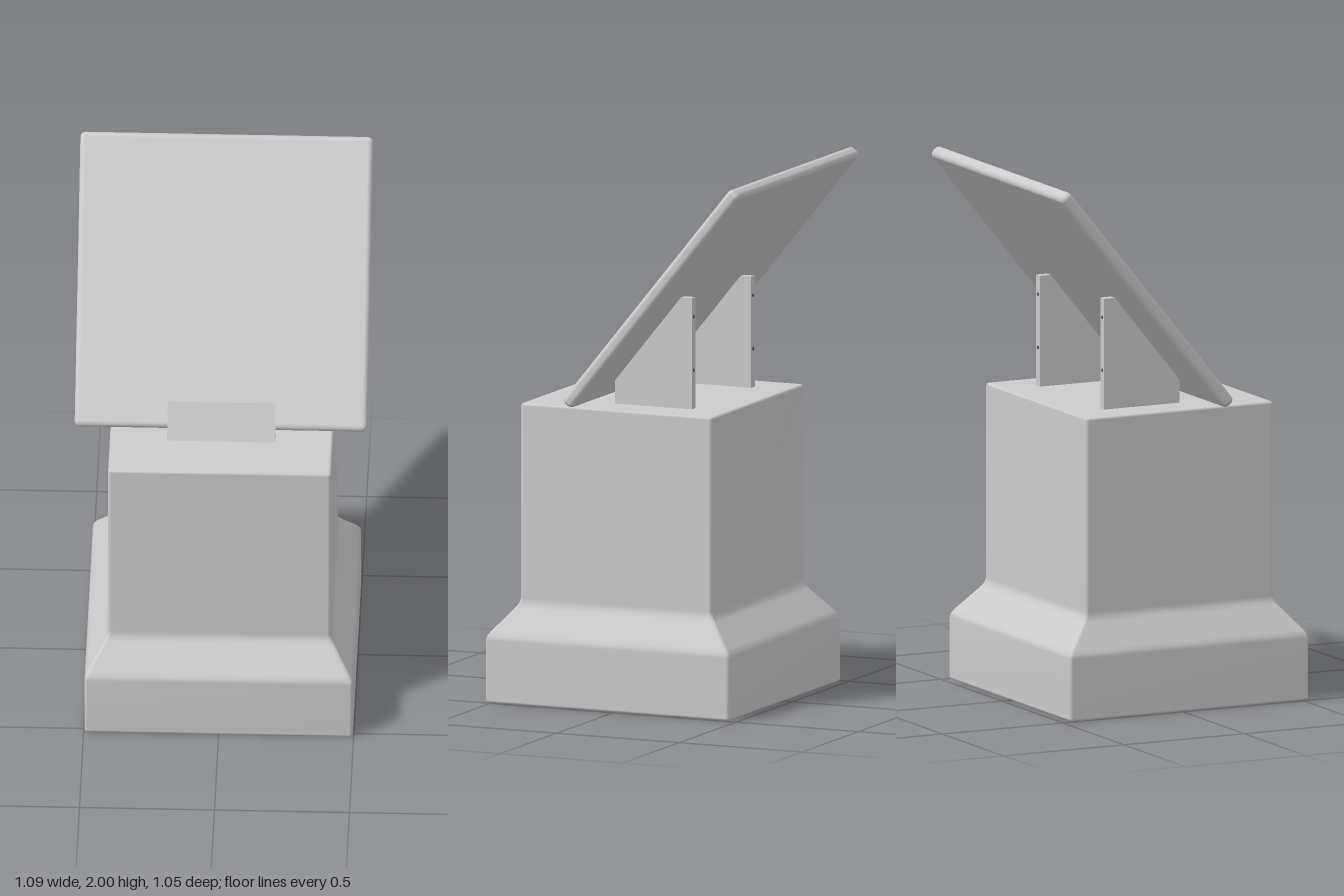
import * as THREE from 'three';
import { RoundedBoxGeometry } from 'three/addons/geometries/RoundedBoxGeometry.js';

const TILT = 0.684; // lean of the board from vertical

// Closed loft of rounded rectangles; each level is {y, hx, hz, zc, r}
function loftGeometry(levels, arc = 4) {
  const pos = [], index = [];
  const n = 4 * (arc + 1);
  for (const { y, hx, hz, zc, r } of levels) {
    for (let c = 0; c < 4; c++) {
      const sx = c === 0 || c === 3 ? 1 : -1;
      const sz = c < 2 ? 1 : -1;
      for (let k = 0; k <= arc; k++) {
        const a = (c + k / arc) * Math.PI / 2;
        pos.push(sx * (hx - r) + r * Math.cos(a), y, zc + sz * (hz - r) + r * Math.sin(a));
      }
    }
  }
  for (let l = 0; l < levels.length - 1; l++) {
    for (let i = 0; i < n; i++) {
      const a = l * n + i, b = l * n + (i + 1) % n;
      index.push(a, a + n, b, b, a + n, b + n);
    }
  }
  // end caps
  const last = (levels.length - 1) * n;
  const bottom = pos.length / 3, top = bottom + 1;
  pos.push(0, levels[0].y, levels[0].zc, 0, levels[levels.length - 1].y, levels[levels.length - 1].zc);
  for (let i = 0; i < n; i++) {
    const j = (i + 1) % n;
    index.push(bottom, i, j, top, last + j, last + i);
  }
  const geometry = new THREE.BufferGeometry();
  geometry.setAttribute('position', new THREE.Float32BufferAttribute(pos, 3));
  geometry.setIndex(index);
  geometry.computeVertexNormals();
  return geometry;
}

export function createModel() {
  const group = new THREE.Group();
  const grey = new THREE.MeshStandardMaterial({ color: 0xcccccc });
  const dark = new THREE.MeshStandardMaterial({ color: 0x555555 });
  const add = (name, geometry, material = grey, parent = group) => {
    const mesh = new THREE.Mesh(geometry, material);
    mesh.name = name;
    parent.add(mesh);
    return mesh;
  };

  // Pedestal: wide foot, sloped shoulder, narrower column [y, taper 0..1, edge inset]
  const profile = [
    [0, 0, 0.01], [0.003, 0, 0.003], [0.01, 0, 0],
    [0.235, 0, 0], [0.25, 0.04, 0], [0.267, 0.15, 0],
    [0.352, 0.84, 0], [0.369, 0.95, 0], [0.39, 1, 0],
    [1.11, 1, 0], [1.117, 1, 0.003], [1.12, 1, 0.01],
  ];
  const mix = THREE.MathUtils.lerp;
  add('pedestal', loftGeometry(profile.map(([y, t, inset]) => ({
    y,
    hx: mix(0.497, 0.413, t) - inset,
    hz: mix(0.497, 0.39, t) - inset,
    zc: mix(0.028, 0.03, t),
    r: 0.013 - inset * 0.6,
  }))));

  // Tilted display board
  const board = add('board', new RoundedBoxGeometry(1.085, 1.092, 0.05, 4, 0.02));
  board.position.set(-0.002, 1.57, -0.1675);
  board.rotation.x = -TILT;

  // Small retaining lip below the board
  const lip = add('lip', new THREE.BoxGeometry(0.4, 0.145, 0.01));
  lip.position.set(0, 1.188, 0.192);
  lip.rotation.x = -0.46;

  // Two wedge brackets behind the board, each with two screws in the rear edge
  const side = new THREE.Shape([
    [-0.217, 1.118], [0.095, 1.118], [0.095, 1.212], [-0.172, 1.537], [-0.217, 1.537],
  ].map(([z, y]) => new THREE.Vector2(z, y)));
  const thickness = 0.032;
  const bracketGeometry = new THREE.ExtrudeGeometry(side, { depth: thickness, bevelEnabled: false });
  bracketGeometry.rotateY(-Math.PI / 2).translate(thickness / 2, 0, 0);
  const screwGeometry = new THREE.CylinderGeometry(0.007, 0.007, 0.004, 12).rotateX(Math.PI / 2);
  for (const [name, x] of [['leftBracket', 0.26], ['rightBracket', -0.265]]) {
    const bracket = new THREE.Group();
    bracket.name = name;
    bracket.position.x = x;
    add('bracketPlate', bracketGeometry, grey, bracket);
    for (const y of [1.265, 1.465]) {
      add('screw', screwGeometry, dark, bracket).position.set(0, y, -0.216);
    }
    group.add(bracket);
  }

  return group;
}
